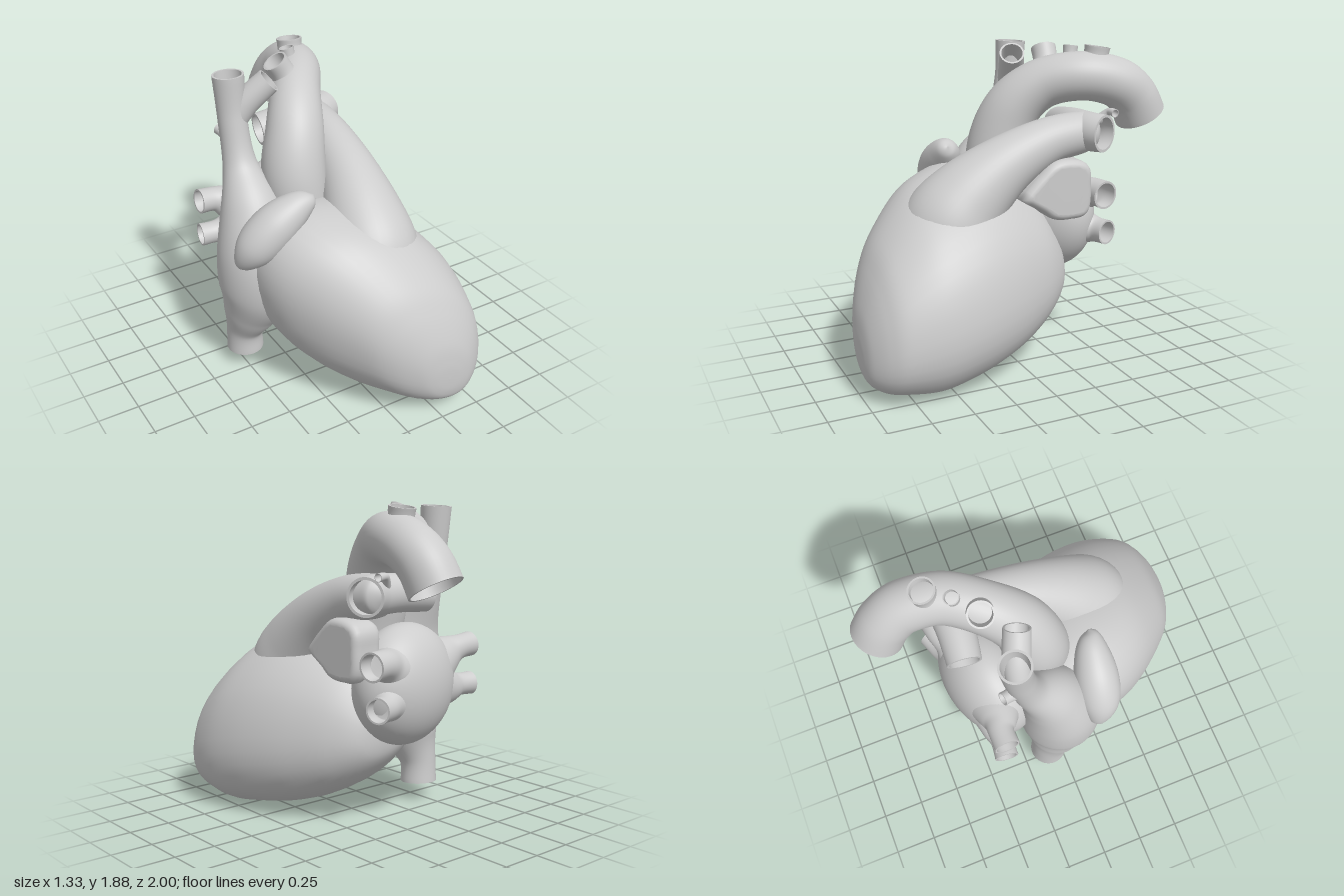
import * as THREE from 'three';
import { mergeVertices } from 'three/addons/utils/BufferGeometryUtils.js';

const SIDES = 40;

// Catmull-Rom interpolation through rows of numbers, t from 0 to 1
function sample(rows, t) {
  const n = rows.length - 1;
  const i = Math.min(Math.floor(t * n), n - 1);
  const f = t * n - i;
  const a = rows[Math.max(i - 1, 0)], b = rows[i], c = rows[i + 1], d = rows[Math.min(i + 2, n)];
  return b.map((v, k) => v + 0.5 * f * (c[k] - a[k]
    + f * (2 * a[k] - 5 * v + 4 * c[k] - d[k] + f * (3 * (v - c[k]) + d[k] - a[k]))));
}

// Skin over a list of closed rings
function loft(rings) {
  const pos = [], index = [];
  rings.forEach((ring, i) => ring.forEach((p, j) => {
    pos.push(p.x, p.y, p.z);
    if (i === rings.length - 1) return;
    const a = i * SIDES + j, b = i * SIDES + (j + 1) % SIDES;
    index.push(a, b, a + SIDES, b, b + SIDES, a + SIDES);
  }));
  const g = new THREE.BufferGeometry();
  g.setAttribute('position', new THREE.Float32BufferAttribute(pos, 3));
  g.setIndex(index);
  g.computeVertexNormals();
  return g;
}

// Tube of varying radius through [x, y, z, radius]; open ends get a rim and an inner wall
function vessel(rows, { openStart = false, openEnd = false, wall = 0.86 } = {}) {
  const steps = (rows.length - 1) * 10;
  const stations = [];
  for (let i = 0; i <= steps; i++) {
    const [x, y, z, r] = sample(rows, i / steps);
    stations.push({ c: new THREE.Vector3(x, y, z), r: Math.max(r, 0) });
  }
  const normal = new THREE.Vector3(0.31, 0.2, 0.93);
  stations.forEach((s, i) => {
    const T = stations[Math.min(i + 1, steps)].c.clone().sub(stations[Math.max(i - 1, 0)].c).normalize();
    normal.addScaledVector(T, -normal.dot(T)).normalize();
    s.n = normal.clone();
    s.b = T.cross(normal);
  });
  const ring = (s, k) => Array.from({ length: SIDES }, (_, j) => {
    const a = (j / SIDES) * Math.PI * 2;
    return s.c.clone().addScaledVector(s.n, Math.cos(a) * s.r * k).addScaledVector(s.b, Math.sin(a) * s.r * k);
  });
  const lining = (list) => [ring(list[0], 1), ring(list[0], wall),
    ...list.map((s) => ring(s, wall)), ring(list[list.length - 1], 0)];
  const depth = Math.min(14, steps);
  const rings = stations.map((s) => ring(s, 1));
  if (openEnd) rings.push(...lining(stations.slice(-depth).reverse()));
  if (openStart) rings.unshift(...lining(stations.slice(0, depth)).reverse());
  return loft(rings);
}

export function createModel() {
  const group = new THREE.Group();
  const tissue = new THREE.MeshStandardMaterial({ color: 0xcccccc });
  tissue.name = 'pale grey tissue';
  tissue.side = THREE.DoubleSide;
  const add = (name, geometry) => {
    const mesh = new THREE.Mesh(geometry, tissue);
    mesh.name = name;
    group.add(mesh);
    return mesh;
  };

  // Ventricles: skewed oval sections [z, xMin, xMax, yMin, yMax] from base to apex
  const sections = [
    [-0.36, 0.03, 0.03, 0.55, 0.55],
    [-0.33, -0.2, 0.22, 0.4, 0.75],
    [-0.2, -0.38, 0.37, 0.25, 0.98],
    [0, -0.5, 0.5, 0.13, 1.12],
    [0.2, -0.54, 0.59, 0.06, 1.17],
    [0.4, -0.5, 0.645, 0.02, 1.14],
    [0.6, -0.38, 0.66, 0, 1.05],
    [0.8, -0.2, 0.625, 0.03, 0.86],
    [0.9, -0.07, 0.565, 0.055, 0.7],
    [0.97, 0.08, 0.47, 0.1, 0.52],
    [0.995, 0.18, 0.38, 0.17, 0.38],
    [1, 0.28, 0.28, 0.27, 0.27],
  ];
  const soften = (v) => Math.sign(v) * Math.abs(v) ** 0.92;
  const bodyRings = [];
  for (let i = 0; i <= 88; i++) {
    const [z, x0, x1, y0, y1] = sample(sections, i / 88);
    bodyRings.push(Array.from({ length: SIDES }, (_, j) => {
      const a = (j / SIDES) * Math.PI * 2;
      return new THREE.Vector3(
        (x0 + x1) / 2 + soften(Math.cos(a)) * (x1 - x0) / 2,
        (y0 + y1) / 2 + soften(Math.sin(a - 0.32)) * (y1 - y0) / 2, z);
    }));
  }
  add('ventricles', loft(bodyRings));

  // Pulmonary trunk and its two branches
  add('pulmonaryTrunk', vessel([
    [0.1, 0.7, 0.42, 0.25], [0.12, 0.88, 0.38, 0.28], [0.14, 1.04, 0.26, 0.24],
    [0.17, 1.21, 0.05, 0.18], [0.19, 1.33, -0.2, 0.14], [0.2, 1.37, -0.42, 0.125],
    [0.2, 1.38, -0.5, 0.1], [0.2, 1.38, -0.56, 0],
  ]));
  add('pulmonaryArteries', vessel([
    [-0.15, 1.36, -0.47, 0.1], [0.05, 1.38, -0.45, 0.11],
    [0.23, 1.38, -0.46, 0.115], [0.34, 1.38, -0.51, 0.11],
  ], { openStart: true, openEnd: true }));
  add('arterialLigament', vessel([
    [0.22, 1.44, -0.54, 0.03], [0.26, 1.49, -0.58, 0.022], [0.32, 1.49, -0.59, 0.025],
  ], { openEnd: true }));

  // Aorta with three arch branches
  add('aorta', vessel([
    [-0.12, 0.92, 0, 0.17], [-0.14, 1.25, -0.05, 0.19], [-0.09, 1.49, -0.12, 0.17],
    [0.0, 1.64, -0.27, 0.15], [0.12, 1.69, -0.47, 0.145], [0.17, 1.65, -0.67, 0.148],
    [0.17, 1.56, -0.79, 0.152], [0.16, 1.44, -0.86, 0.155],
  ], { openEnd: true, wall: 0.92 }));
  const archBranches = [
    [[0, 1.66, -0.29, 0.1], [-0.05, 1.76, -0.32, 0.075], [-0.1, 1.84, -0.33, 0.075]],
    [[0.07, 1.7, -0.42, 0.06], [0.05, 1.8, -0.43, 0.042], [0.04, 1.86, -0.44, 0.045]],
    [[0.13, 1.7, -0.54, 0.1], [0.13, 1.8, -0.56, 0.075], [0.13, 1.86, -0.57, 0.077]],
  ];
  archBranches.forEach((rows, i) => add('archBranch' + (i + 1), vessel(rows, { openEnd: true })));

  // Upper vein, right atrium and lower vein as one swelling tube
  add('rightAtriumAndVeins', vessel([
    [-0.485, 0.11, -0.09, 0.113], [-0.485, 0.25, -0.08, 0.115], [-0.46, 0.4, -0.04, 0.17],
    [-0.42, 0.6, 0, 0.24], [-0.42, 0.85, 0, 0.24], [-0.42, 1.1, -0.07, 0.18],
    [-0.42, 1.33, -0.19, 0.1], [-0.425, 1.6, -0.25, 0.085], [-0.43, 1.85, -0.27, 0.092],
  ], { openStart: true, openEnd: true }));
  add('upperVeinBranch', vessel([
    [-0.42, 1.56, -0.25, 0.07], [-0.34, 1.68, -0.23, 0.078], [-0.22, 1.8, -0.18, 0.075],
  ], { openEnd: true }));
  add('backVeinStub', vessel([
    [-0.43, 1.46, -0.24, 0.05], [-0.45, 1.48, -0.32, 0.038], [-0.46, 1.49, -0.36, 0.038],
  ], { openEnd: true }));
  add('rightAuricle', vessel([
    [-0.62, 0.86, 0.16, 0], [-0.6, 0.9, 0.17, 0.06], [-0.53, 1.0, 0.2, 0.12],
    [-0.42, 1.11, 0.22, 0.13], [-0.3, 1.2, 0.24, 0.1], [-0.22, 1.25, 0.26, 0.055],
    [-0.19, 1.27, 0.26, 0],
  ]));

  // Left atrium with four lung veins
  const atrium = add('leftAtrium', new THREE.SphereGeometry(1, 48, 32));
  atrium.scale.set(0.38, 0.36, 0.25);
  atrium.position.set(-0.1, 0.83, -0.35);
  atrium.rotation.y = 0.2;
  const lungVeins = {
    rightUpperLungVein: [[-0.25, 0.9, -0.35, 0.2], [-0.42, 0.98, -0.38, 0.11], [-0.5, 1.01, -0.4, 0.075], [-0.6, 1.02, -0.4, 0.075]],
    rightLowerLungVein: [[-0.25, 0.8, -0.35, 0.2], [-0.42, 0.78, -0.39, 0.11], [-0.5, 0.78, -0.4, 0.07], [-0.6, 0.78, -0.41, 0.07]],
    leftUpperLungVein: [[0, 0.9, -0.4, 0.2], [0.14, 0.97, -0.47, 0.12], [0.22, 1, -0.52, 0.085], [0.32, 1, -0.54, 0.085]],
    leftLowerLungVein: [[0, 0.78, -0.4, 0.2], [0.14, 0.77, -0.48, 0.12], [0.22, 0.76, -0.54, 0.078], [0.3, 0.76, -0.57, 0.075]],
  };
  for (const [name, rows] of Object.entries(lungVeins)) add(name, vessel(rows, { openEnd: true }));

  // Left auricle: soft-edged flap on the left side
  const outline = [[0.04, 1.04], [0.13, 1.13], [0.23, 1.2], [0.38, 1.18], [0.4, 1.08],
    [0.39, 0.94], [0.3, 0.92], [0.21, 0.93], [0.14, 0.98]];
  const flap = new THREE.Shape();
  flap.setFromPoints(new THREE.SplineCurve([...outline, outline[0]].map(([u, y]) => new THREE.Vector2(u, y))).getPoints(50).slice(0, -1));
  let flapGeometry = new THREE.ExtrudeGeometry(flap, {
    depth: 0.1, bevelThickness: 0.05, bevelSize: 0.04, bevelSegments: 6, steps: 1,
  });
  flapGeometry.deleteAttribute('normal');
  flapGeometry.deleteAttribute('uv');
  flapGeometry = mergeVertices(flapGeometry, 1e-4);
  flapGeometry.computeVertexNormals();
  flapGeometry.rotateY(Math.PI / 2).translate(0.2, 0, 0);
  add('leftAuricle', flapGeometry);

  return group;
}
